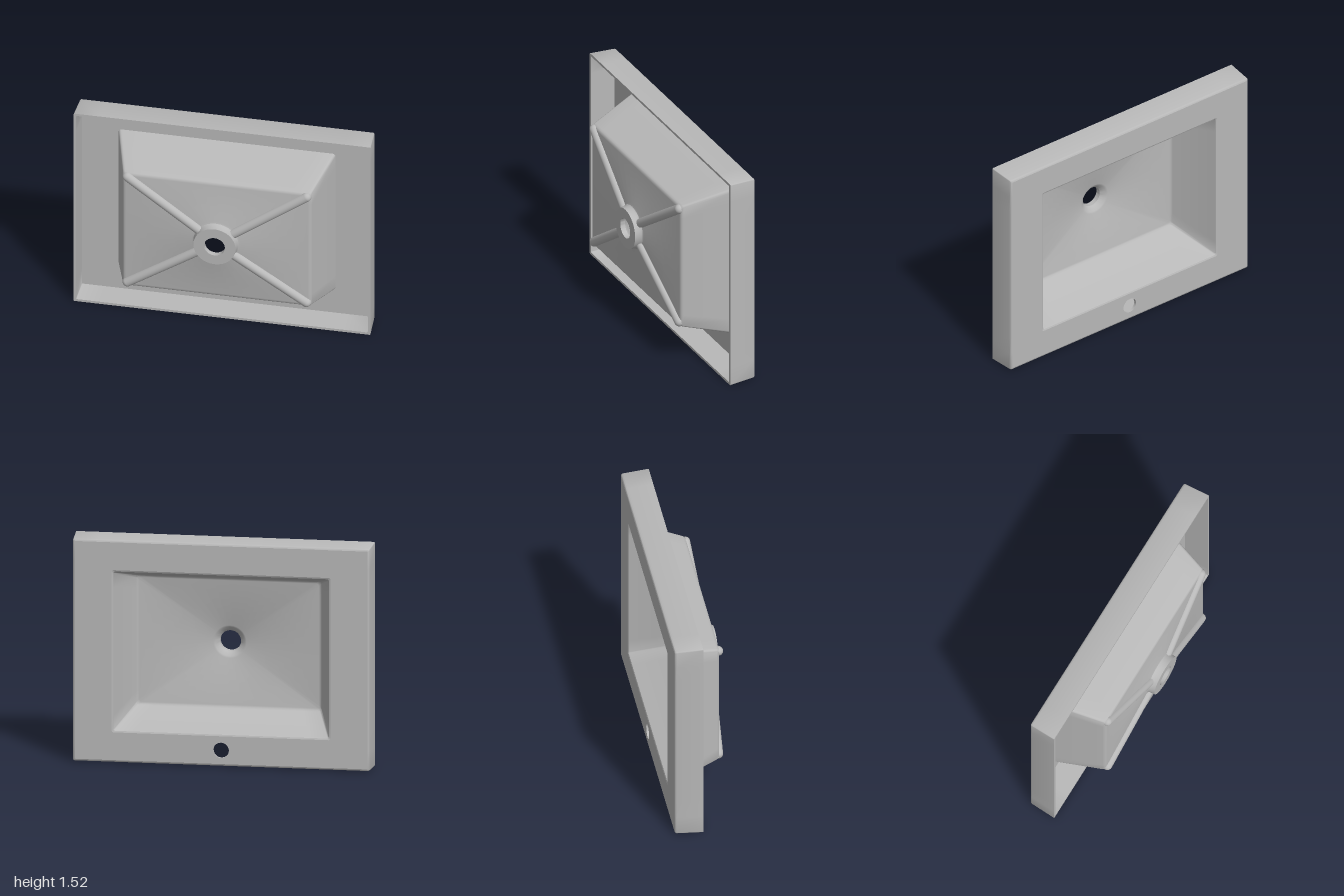
import * as THREE from 'three';
import { toCreasedNormals } from 'three/addons/utils/BufferGeometryUtils.js';

const BACK = -0.225, PLATE = -0.207, CY = 0.7625;
const HOLE_Y = 0.115 - CY, HOLE_R = 0.052;

// Rounded rectangle, anticlockwise, with extra points along each side
function ringPoints(w, h, r) {
  const corners = [[1, 1], [-1, 1], [-1, -1], [1, -1]], pts = [];
  corners.forEach(([sx, sy], k) => {
    const arc = [];
    for (let i = 0; i <= 4; i++) {
      const a = (k + i / 4) * Math.PI / 2;
      arc.push(new THREE.Vector2(sx * (w - r) + r * Math.cos(a), sy * (h - r) + r * Math.sin(a)));
    }
    pts.push(...arc);
    const [nx, ny] = corners[(k + 1) % 4], a = (k + 1) * Math.PI / 2;
    const next = new THREE.Vector2(nx * (w - r) + r * Math.cos(a), ny * (h - r) + r * Math.sin(a));
    for (let i = 1; i < 12; i++) pts.push(arc[4].clone().lerp(next, i / 12));
  });
  return pts;
}

const rect = (w, h, r, z) => ringPoints(w, h, r).map(p => new THREE.Vector3(p.x, p.y, z));
const circle = (R, z) => ringPoints(0.62, 0.445, 0.02).map(p => {
  p.setLength(R);
  return new THREE.Vector3(p.x, p.y, z);
});

// Skin over a series of matching rings
function loft(rings, crease) {
  const n = rings[0].length, pos = [], idx = [];
  rings.forEach(ring => ring.forEach(p => pos.push(p.x, p.y, p.z)));
  for (let j = 0; j < rings.length - 1; j++) {
    for (let i = 0; i < n; i++) {
      const a = j * n + i, b = j * n + (i + 1) % n;
      idx.push(a, b, a + n, b, b + n, a + n);
    }
  }
  const g = new THREE.BufferGeometry();
  g.setAttribute('position', new THREE.Float32BufferAttribute(pos, 3));
  g.setIndex(idx);
  return toCreasedNormals(g, crease);
}

// Flat panel with the bowl opening and round holes cut out
function panel(outer, inner, holesX) {
  const s = new THREE.Shape(ringPoints(...outer));
  s.holes.push(new THREE.Path(ringPoints(...inner)));
  holesX.forEach(x => s.holes.push(new THREE.Path().absarc(x, HOLE_Y, HOLE_R, 0, Math.PI * 2, true)));
  return new THREE.ShapeGeometry(s, 20);
}

export function createModel() {
  const ceramic = new THREE.MeshStandardMaterial({ color: 0xb8b8b8, side: THREE.DoubleSide });
  ceramic.name = 'grey ceramic';
  const model = new THREE.Group();
  model.name = 'basin';
  const body = new THREE.Group();
  body.name = 'basinBody';
  body.position.y = CY;
  model.add(body);
  const add = (name, geometry, parent = body) => {
    const m = new THREE.Mesh(geometry, ceramic);
    m.name = name;
    parent.add(m);
    return m;
  };

  // Skirt: rounded deck edge, outer side, rim and inner side
  add('skirt', loft([
    rect(0.978, 0.741, 0.006, BACK),
    rect(0.985, 0.748, 0.008, BACK + 0.002),
    rect(0.990, 0.753, 0.01, BACK + 0.007),
    rect(0.992, 0.755, 0.01, BACK + 0.014),
    rect(1.0, 0.7625, 0.008, -0.035),
    rect(0.983, 0.7455, 0.006, -0.035),
    rect(0.977, 0.7395, 0.006, PLATE),
  ], 0.6));

  // Deck: visible face and underside
  const deckFace = panel([0.978, 0.741, 0.006], [0.732, 0.552, 0.014], [0]);
  deckFace.rotateY(Math.PI);
  add('deckFace', deckFace).position.z = BACK;
  add('deckUnderside', panel([0.977, 0.7395, 0.006], [0.73, 0.552, 0.02], [-0.16, 0, 0.16])).position.z = PLATE;

  // Tap hole through the deck, with a blind recess on each side
  for (const x of [-0.16, 0, 0.16]) {
    const depth = x === 0 ? PLATE - BACK : 0.01;
    const wall = new THREE.CylinderGeometry(HOLE_R, HOLE_R, depth, 40, 1, true);
    wall.rotateX(Math.PI / 2);
    add(x === 0 ? 'tapHole' : 'tapRecess', wall).position.set(x, HOLE_Y, PLATE - depth / 2);
    if (x !== 0) {
      add('tapRecessFloor', new THREE.CircleGeometry(HOLE_R, 40)).position.set(x, HOLE_Y, PLATE - depth);
    }
  }

  // Bowl: outer walls, sloping floor, drain collar, drain bore and inside
  add('bowl', loft([
    rect(0.73, 0.552, 0.02, PLATE),
    rect(0.638, 0.461, 0.02, 0.122),
    rect(0.633, 0.456, 0.02, 0.134),
    rect(0.624, 0.447, 0.02, 0.141),
    rect(0.612, 0.435, 0.02, 0.143),
    circle(0.165, 0.170),
    circle(0.152, 0.174),
    circle(0.145, 0.184),
    circle(0.142, 0.225),
    circle(0.07, 0.225),
    circle(0.07, 0.19),
    circle(0.076, 0.183),
    circle(0.1, 0.16),
    circle(0.112, 0.155),
    rect(0.6, 0.423, 0.02, 0.128),
    rect(0.612, 0.435, 0.02, 0.125),
    rect(0.621, 0.444, 0.02, 0.114),
    rect(0.718, 0.538, 0.014, BACK + 0.012),
    rect(0.722, 0.542, 0.014, BACK + 0.004),
    rect(0.732, 0.552, 0.014, BACK),
  ], 0.65));

  // Half-round ribs from the bowl corners to the drain collar
  const R = 0.033;
  for (const sx of [-1, 1]) for (const sy of [-1, 1]) {
    const start = new THREE.Vector3(sx * 0.603, sy * 0.428, 0.138);
    const end = new THREE.Vector3(sx * 0.11, sy * 0.08, 0.168);
    const dir = end.clone().sub(start), length = dir.length();
    dir.normalize();
    const side = dir.clone().cross(new THREE.Vector3(0, 0, 1)).normalize();
    const profile = [];
    for (let i = 0; i <= 6; i++) {
      const a = i / 6 * Math.PI / 2;
      profile.push(new THREE.Vector2(R * Math.sin(a), -R * Math.cos(a)));
    }
    profile.push(new THREE.Vector2(R, length));
    const rib = new THREE.LatheGeometry(profile, 14, -Math.PI / 2, Math.PI);
    rib.applyMatrix4(new THREE.Matrix4().makeBasis(side, dir, side.clone().cross(dir)).setPosition(start));
    add('rib', rib);
  }
  return model;
}
